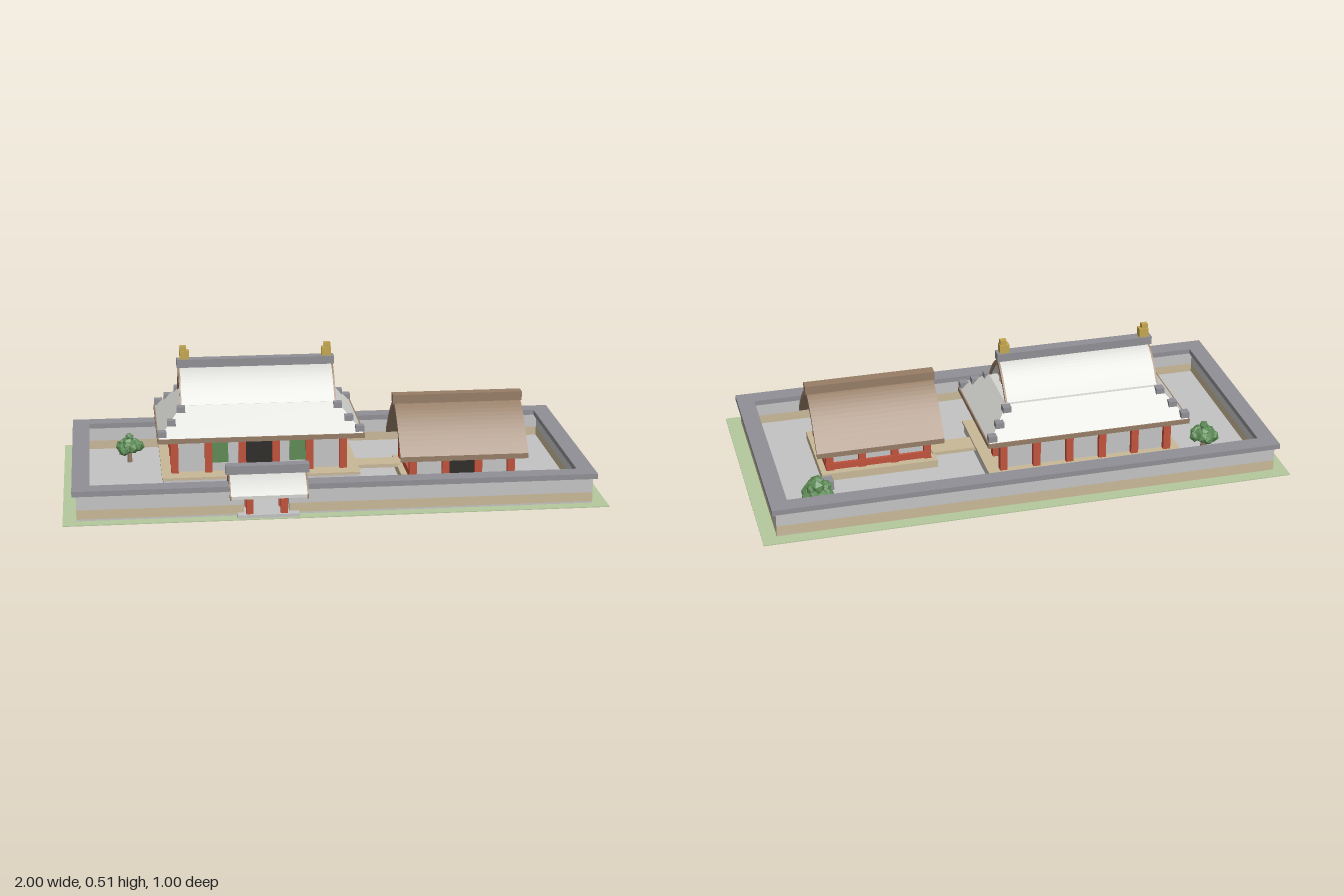
import * as THREE from 'three';

const mat = (name, color, side = THREE.FrontSide) => {
  const m = new THREE.MeshStandardMaterial({ color, side });
  m.name = name;
  return m;
};

export function createModel() {
  const M = {
    grass: mat('grass', 0xb4c89c),
    sand: mat('sand', 0xc8b898),
    plaster: mat('plaster', 0xc4c3c4),
    stone: mat('stone', 0x8f8f95),
    tile: mat('pale roof', 0xd4d5d0),
    wood: mat('brown wood', 0x967d66),
    red: mat('red timber', 0xc0523c),
    gold: mat('gold', 0xc4a650),
    dark: mat('dark doorway', 0x2e2b28),
    leaf: mat('leaf green', 0x5c8a55),
  };
  const root = new THREE.Group();
  root.name = 'templeCompound';

  const group = (name) => {
    const g = new THREE.Group();
    g.name = name;
    root.add(g);
    return g;
  };
  const add = (parent, name, geo, material) => {
    const mesh = new THREE.Mesh(geo, material);
    mesh.name = name;
    parent.add(mesh);
    return mesh;
  };
  // box given by its limits on each axis
  const box = (parent, name, material, x0, x1, y0, y1, z0, z1) => {
    const geo = new THREE.BoxGeometry(x1 - x0, y1 - y0, z1 - z0);
    geo.translate((x0 + x1) / 2, (y0 + y1) / 2, (z0 + z1) / 2);
    return add(parent, name, geo, material);
  };

  // bowed gable line: eave height ye, apex ya, centre zc, half depth h
  const curve = (r, tMax = 1, drop = 0) => {
    const pts = [];
    for (let i = -14; i <= 14; i++) {
      const t = (i / 14) * tMax;
      const y = r.ye + (r.ya - r.ye) * (1 - Math.pow(Math.abs(t), 1.5)) - drop;
      pts.push(new THREE.Vector2(r.zc + t * r.h, y));
    }
    return pts;
  };
  // extrude a (z, y) outline along x
  const along = (pts, x0, x1) => {
    const geo = new THREE.ExtrudeGeometry(new THREE.Shape(pts), { depth: x1 - x0, bevelEnabled: false });
    geo.rotateY(-Math.PI / 2);
    geo.translate(x1, 0, 0);
    return geo;
  };
  const arch = (parent, name, material, r, x0, x1, thick) =>
    add(parent, name, along([...curve(r), ...curve(r, 1, thick).reverse()], x0, x1), material);
  const gable = (parent, name, material, r, x0, x1, base, tMax, drop) => {
    const top = curve(r, tMax, drop);
    const a = top[0], b = top[top.length - 1];
    add(parent, name, along([new THREE.Vector2(a.x, base), ...top, new THREE.Vector2(b.x, base)], x0, x1), material);
  };
  // lattice of struts with a hanging ornament on a gable face
  const lattice = (parent, x, zc, y, s, accent) => {
    const x0 = x - 0.006, x1 = x + 0.006;
    box(parent, 'latticeRail', M.wood, x0, x1, y + 0.04 * s, y + 0.055 * s, zc - 0.075 * s, zc + 0.075 * s);
    for (let i = -2; i <= 2; i++) {
      const z = zc + i * 0.03 * s;
      box(parent, 'latticeStrut', M.wood, x0, x1, y, y + (0.095 - Math.abs(i) * 0.01) * s, z - 0.005 * s, z + 0.005 * s);
    }
    for (const k of [-1, 1]) {
      const z = zc + k * 0.07 * s;
      box(parent, 'latticeEnd', accent, x0 - 0.002, x1 + 0.002, y + 0.037 * s, y + 0.06 * s, z - 0.01 * s, z + 0.01 * s);
    }
  };
  const pendant = (parent, x, zc, yTop, h, material) => {
    const w = h * 0.4;
    const pts = [[-w, 0], [-w, -h * 0.5], [-w * 0.5, -h], [w * 0.5, -h], [w, -h * 0.5], [w, 0]]
      .map(([z, y]) => new THREE.Vector2(zc + z, yTop + y));
    add(parent, 'gablePendant', along(pts, x - 0.007, x + 0.007), material);
  };
  const steps = (parent, x0, x1, z0, z1, y0, y1) => {
    for (let i = 0; i < 3; i++) {
      box(parent, 'step', M.plaster, x0, x1, y0, y0 + (y1 - y0) * (3 - i) / 3.6, z0, z0 + (z1 - z0) * (i + 1) / 3);
    }
  };

  // ground and courtyard
  const ground = group('ground');
  box(ground, 'grassPlate', M.grass, -1, 1, 0.001, 0.004, -0.5, 0.476);
  box(ground, 'courtyard', M.plaster, -0.95, 0.945, 0, 0.01, -0.45, 0.43);

  // boundary wall: sand foot, plaster upper part, stone coping
  const wall = group('boundaryWall');
  const runs = [
    [-0.95, 0.945, -0.45, -0.415], [-0.95, -0.915, -0.45, 0.43], [0.91, 0.945, -0.45, 0.43],
    [-0.95, -0.345, 0.39, 0.43], [-0.18, 0.945, 0.39, 0.43],
  ];
  for (const [x0, x1, z0, z1] of runs) {
    box(wall, 'wallFoot', M.sand, x0, x1, 0.003, 0.045, z0, z1);
    box(wall, 'wallFace', M.plaster, x0, x1, 0.045, 0.1, z0, z1);
  }
  for (const [x0, x1, z0, z1] of [
    [-0.965, 0.96, -0.465, -0.4], [-0.965, 0.96, 0.375, 0.443],
    [-0.965, -0.9, -0.4, 0.375], [0.895, 0.96, -0.4, 0.375],
  ]) box(wall, 'coping', M.stone, x0, x1, 0.1, 0.12, z0, z1);

  // gatehouse
  const gate = group('gate');
  const gr = { zc: 0.41, h: 0.09, ye: 0.1, ya: 0.16 };
  arch(gate, 'gateRoof', M.tile, gr, -0.395, -0.12, 0.012);
  for (const x of [-0.4, -0.12]) arch(gate, 'gateBargeboard', M.wood, gr, x, x + 0.006, 0.016);
  for (const x of [-0.355, -0.17]) gable(gate, 'gateGable', M.plaster, gr, x - 0.005, x + 0.005, 0.1, 0.75, 0.012);
  box(gate, 'gateRidge', M.stone, -0.41, -0.105, 0.16, 0.192, 0.39, 0.43);
  for (const z of [0.38, 0.455]) {
    box(gate, 'gateBeam', M.wood, -0.385, -0.13, 0.088, 0.103, z - 0.012, z + 0.012);
    for (const x of [-0.325, -0.2]) box(gate, 'gatePost', M.red, x - 0.013, x + 0.013, 0.012, 0.09, z - 0.02, z);
  }
  box(gate, 'gateThreshold', M.plaster, -0.37, -0.145, 0.003, 0.016, 0.35, 0.465);

  // main hall
  const hall = group('mainHall');
  box(hall, 'platform', M.plaster, -0.625, 0.115, 0.01, 0.046, -0.325, 0.125);
  box(hall, 'verandaFloor', M.sand, -0.63, 0.12, 0.046, 0.056, -0.33, 0.13);
  steps(hall, -0.38, -0.14, 0.13, 0.195, 0.01, 0.056);
  box(hall, 'hallWalls', M.plaster, -0.575, 0.055, 0.056, 0.195, -0.265, 0.055);
  const px = [0, 1, 2, 3, 4, 5].map((i) => -0.58 + i * 0.128);
  const pz = [-0.27, -0.16, -0.05, 0.06];
  px.forEach((x, i) => pz.forEach((z, j) => {
    if (i % 5 && j % 3) return;
    box(hall, 'hallPost', M.red, x - 0.014, x + 0.014, 0.056, 0.195, z - 0.014, z + 0.014);
  }));
  box(hall, 'hallDoor', M.dark, -0.31, -0.21, 0.056, 0.175, 0.055, 0.06);
  for (const x of [-0.452, -0.068]) {
    const s = x < -0.26 ? 1 : -1;
    const c = x + s * 0.04;
    box(hall, 'frontWindow', M.leaf, c - 0.035, c + 0.035, 0.09, 0.175, 0.055, 0.06);
  }
  for (const x of [-0.58, 0.055]) box(hall, 'sideWindow', M.leaf, x, x + 0.005, 0.09, 0.175, -0.145, -0.065);
  box(hall, 'eaves', M.wood, -0.645, 0.135, 0.19, 0.208, -0.345, 0.13);

  // skirt roof: a box whose top is drawn inward
  const skirt = new THREE.BoxGeometry(0.77, 0.1, 0.465).toNonIndexed();
  const p = skirt.attributes.position;
  for (let i = 0; i < p.count; i++) {
    if (p.getY(i) > 0) p.setXYZ(i, Math.sign(p.getX(i)) * 0.295, 0.05, Math.sign(p.getZ(i)) * 0.133);
  }
  skirt.computeVertexNormals();
  skirt.translate(-0.255, 0.258, -0.1075);
  add(hall, 'skirtRoof', skirt, M.tile);
  for (const sx of [-1, 1]) for (const sz of [-1, 1]) {
    [[0.372, 0.222, 0.226], [0.335, 0.182, 0.258], [0.297, 0.142, 0.298]].forEach(([dx, dz, y]) => {
      const x = -0.255 + sx * dx, z = -0.1075 + sz * dz;
      box(hall, 'hipBlock', M.stone, x - 0.016, x + 0.016, y - 0.011, y + 0.011, z - 0.016, z + 0.016);
    });
  }

  // upper gabled roof
  const hr = { zc: -0.102, h: 0.132, ye: 0.298, ya: 0.424 };
  arch(hall, 'upperRoof', M.tile, hr, -0.549, 0.032, 0.014);
  for (const x of [-0.555, 0.032]) arch(hall, 'bargeboard', M.wood, hr, x, x + 0.007, 0.018);
  gable(hall, 'gableWalls', M.plaster, hr, -0.525, 0.008, 0.3, 0.93, 0.01);
  for (const x of [-0.528, 0.012]) {
    lattice(hall, x, hr.zc, 0.312, 0.65, M.wood);
    pendant(hall, x, hr.zc, 0.41, 0.045, M.wood);
  }
  box(hall, 'ridge', M.stone, -0.56, 0.042, 0.426, 0.457, -0.122, -0.082);
  for (const [x, s] of [[-0.53, -1], [0.013, 1]]) {
    box(hall, 'ridgeOrnament', M.gold, x - 0.018, x + 0.018, 0.457, 0.49, -0.117, -0.087);
    const c = x + s * 0.004;
    box(hall, 'ridgeOrnamentTip', M.gold, c - 0.012, c + 0.012, 0.49, 0.508, -0.112, -0.092);
  }

  // covered link between the two halls
  box(group('bridge'), 'bridgeDeck', M.sand, 0.115, 0.285, 0.032, 0.046, -0.07, 0.015);

  // thatched side hall
  const side = group('sideHall');
  const sr = { zc: 0.049, h: 0.196, ye: 0.145, ya: 0.309 };
  box(side, 'sideDeck', M.sand, 0.275, 0.72, 0.01, 0.04, -0.12, 0.225);
  steps(side, 0.375, 0.61, 0.225, 0.305, 0.01, 0.042);
  box(side, 'sideWalls', M.plaster, 0.315, 0.68, 0.04, 0.165, -0.08, 0.18);
  for (const x of [0.31, 0.435, 0.56, 0.685]) for (const z of [-0.083, 0.185]) {
    box(side, 'sidePost', M.red, x - 0.014, x + 0.014, 0.04, 0.165, z - 0.014, z + 0.014);
  }
  box(side, 'sideDoor', M.dark, 0.45, 0.545, 0.04, 0.135, 0.18, 0.185);
  box(side, 'backRail', M.red, 0.3, 0.695, 0.045, 0.07, -0.1, -0.088);
  for (const x of [0.297, 0.686]) {
    box(side, 'sideRail', M.red, x, x + 0.014, 0.045, 0.07, -0.09, 0.19);
    box(side, 'tieBeam', M.wood, x - 0.004, x + 0.018, 0.13, 0.155, -0.085, 0.19);
    const out = x < 0.5 ? 0.305 : 0.691;
    lattice(side, out, sr.zc, 0.157, 1, M.gold);
    pendant(side, out, sr.zc, 0.287, 0.055, M.gold);
  }
  gable(side, 'sideGables', M.plaster, sr, 0.31, 0.686, 0.15, 0.72, 0.012);
  arch(side, 'thatchedRoof', M.wood, sr, 0.255, 0.74, 0.02);
  box(side, 'thatchedRidge', M.wood, 0.25, 0.745, 0.303, 0.337, 0.03, 0.072);

  // garden stones and clumped bushes
  const garden = group('garden');
  for (const [x, z] of [[0.66, -0.305], [0.71, -0.165]]) {
    box(garden, 'stoneBlock', M.stone, x - 0.023, x + 0.023, 0.01, 0.045, z - 0.023, z + 0.023);
  }
  let seed = 7;
  const rnd = () => (seed = (seed * 16807) % 2147483647) / 2147483647;
  for (const [bx, bz, r] of [[-0.745, -0.235, 0.06], [0.765, -0.275, 0.068]]) {
    for (let i = 0; i < 16; i++) {
      const a = i * 2.4, d = r * 0.68 * Math.sqrt(i / 16);
      const clump = new THREE.IcosahedronGeometry(r * (0.3 + 0.14 * rnd()), 0);
      clump.rotateX(rnd() * 3);
      clump.rotateY(rnd() * 3);
      clump.translate(bx + Math.cos(a) * d, 0.115 - d * 1.1 - rnd() * 0.02, bz + Math.sin(a) * d);
      add(garden, 'bushClump', clump, M.leaf);
    }
    const trunk = new THREE.CylinderGeometry(0.008, 0.011, 0.09, 6);
    trunk.translate(bx, 0.055, bz);
    add(garden, 'bushTrunk', trunk, M.wood);
  }
  return root;
}
